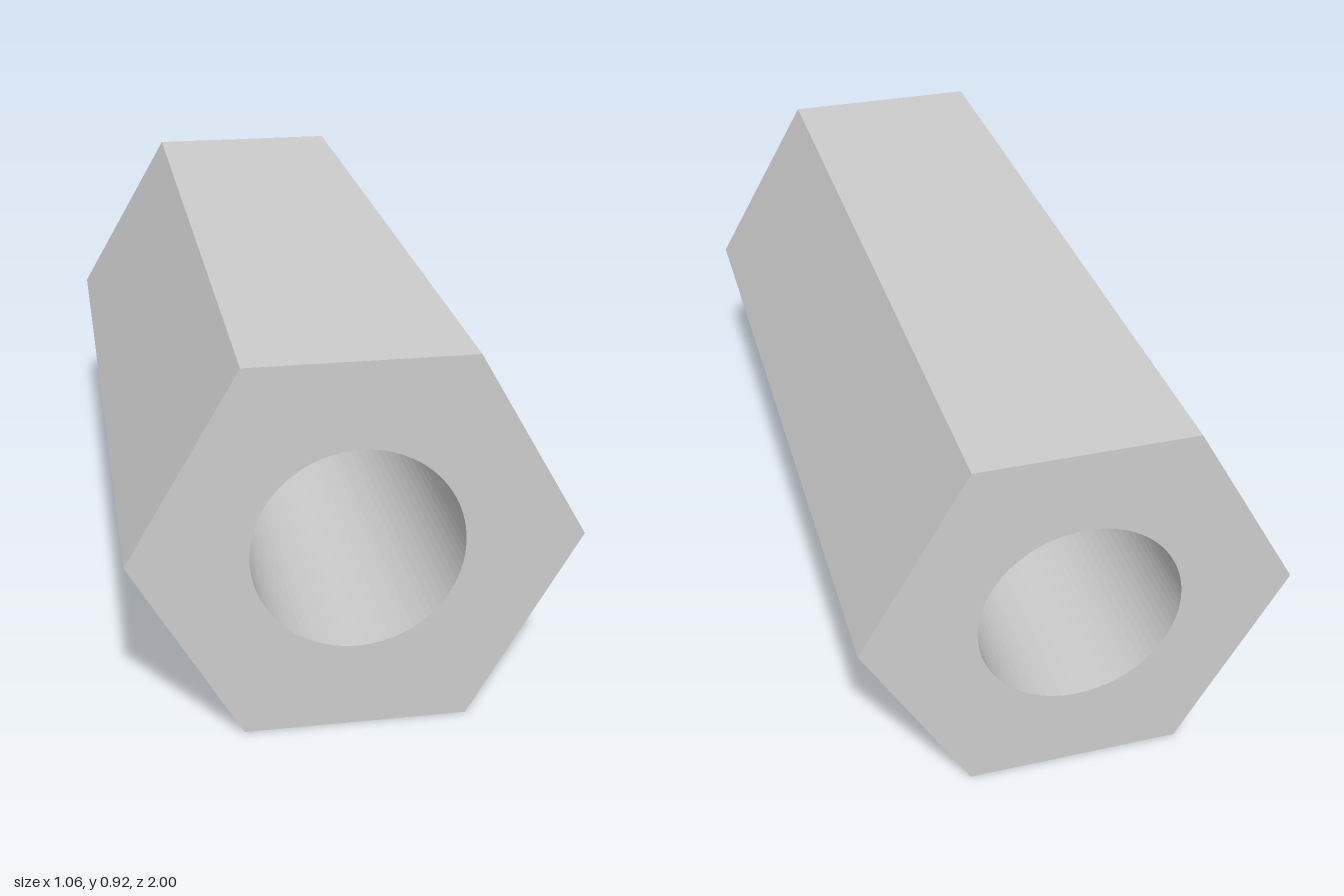
import * as THREE from 'three';

export function createModel() {
  const length = 2, height = 0.92, boreRadius = 0.25;
  const cornerRadius = height / Math.sqrt(3);

  // Hexagonal cross-section with flats at top and bottom
  const corners = [];
  for (let i = 0; i < 6; i++) {
    const a = (i * Math.PI) / 3;
    corners.push(new THREE.Vector2(Math.cos(a) * cornerRadius, Math.sin(a) * cornerRadius));
  }
  const section = new THREE.Shape(corners);

  // Round bore running the full length
  const bore = new THREE.Path();
  bore.absarc(0, 0, boreRadius, 0, Math.PI * 2, true);
  section.holes.push(bore);

  const geometry = new THREE.ExtrudeGeometry(section, {
    depth: length, bevelEnabled: false, curveSegments: 40,
  });
  geometry.translate(0, height / 2, -length / 2);

  const material = new THREE.MeshStandardMaterial({ color: 0xcccccc, flatShading: true });
  const spacer = new THREE.Mesh(geometry, material);
  spacer.name = 'hexSpacer';

  const group = new THREE.Group();
  group.name = 'hexStandoff';
  group.add(spacer);
  return group;
}
